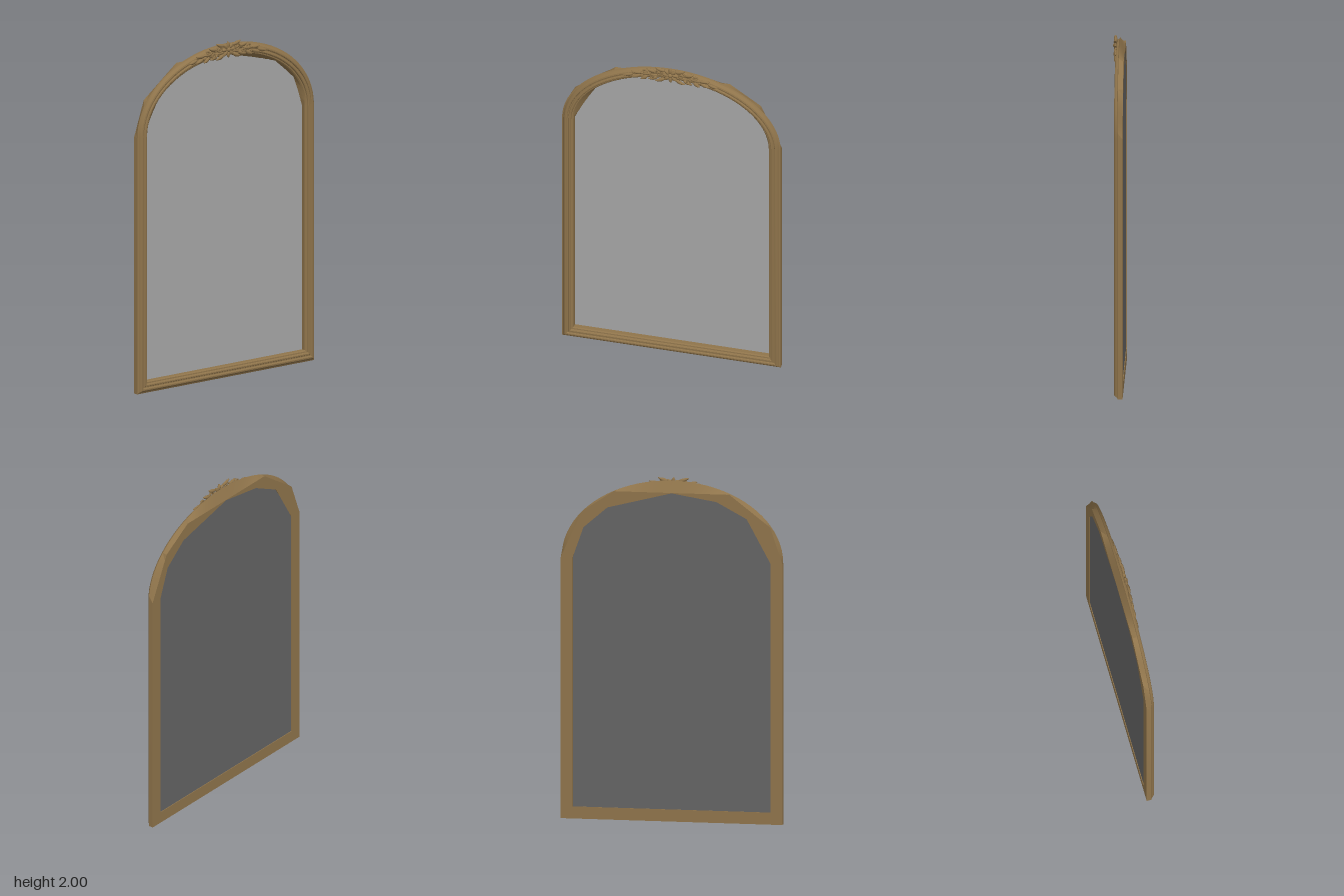
import * as THREE from 'three';
import { toCreasedNormals } from 'three/addons/utils/BufferGeometryUtils.js';

const HALF = 0.65, SPRING = 1.52, RISE = 0.46, STEP = 4.5;

// Point on the arch at angle t (degrees), inset by d from the outer edge.
function archPoint(t, d) {
  const a = THREE.MathUtils.degToRad(t);
  return new THREE.Vector2((HALF - d) * Math.cos(a), SPRING + (RISE - d) * Math.sin(a));
}

// Same, but on straight chords between a few angles (rough-cut back edges).
function chordPoint(t, d, cuts) {
  let i = 0;
  while (i < cuts.length - 2 && t > cuts[i + 1]) i++;
  const k = (t - cuts[i]) / (cuts[i + 1] - cuts[i]);
  return archPoint(cuts[i], d).lerp(archPoint(cuts[i + 1], d), k);
}

// Closed outline: bottom corners, then the arch from right to left.
function outline(d, cuts) {
  const pts = [new THREE.Vector2(-HALF + d, d), new THREE.Vector2(HALF - d, d)];
  for (let t = 0; t <= 180; t += STEP) pts.push(cuts ? chordPoint(t, d, cuts) : archPoint(t, d));
  return pts;
}

// Moulded frame: rings of the profile joined around the outline.
function frameGeometry() {
  const outerCuts = [0, 36, 58.5, 121.5, 153, 180];
  const innerCuts = [0, 27, 49.5, 90, 117, 139.5, 180];
  const profile = [
    [0, -0.035, outerCuts], [0, -0.006], [0.008, -0.002], [0.012, 0.006], [0.019, 0.013],
    [0.027, 0.015], [0.032, 0.013], [0.034, 0.008], [0.04, 0.008], [0.043, 0.013],
    [0.05, 0.014], [0.055, 0.011], [0.057, 0.004], [0.064, 0.003], [0.07, -0.003],
    [0.07, -0.035, innerCuts],
  ];
  const rings = profile.map(([d, z, cuts]) => outline(d, cuts).map(p => [p.x, p.y, z]));
  const n = rings[0].length, pos = [];
  rings.forEach((ring, j) => {
    const next = rings[(j + 1) % rings.length];
    for (let i = 0; i < n; i++) {
      const k = (i + 1) % n;
      pos.push(...ring[i], ...ring[k], ...next[k], ...ring[i], ...next[k], ...next[i]);
    }
  });
  const g = new THREE.BufferGeometry();
  g.setAttribute('position', new THREE.Float32BufferAttribute(pos, 3));
  return toCreasedNormals(g, 0.4);
}

// Leaf: a pointed, ridged blade running along +x.
function leafGeometry(length, width, height) {
  const g = new THREE.SphereGeometry(1, 12, 8);
  const p = g.attributes.position;
  for (let i = 0; i < p.count; i++) {
    const x = p.getX(i), y = p.getY(i), z = p.getZ(i);
    const taper = 1 - 0.55 * Math.max(0, x);
    p.setXYZ(i, (x + 1) * length / 2, y * taper * width / 2 + 0.12 * width * x * x, z * height * (1 - 0.4 * Math.abs(y)));
  }
  g.computeVertexNormals();
  return g;
}

// Flat spiral ending in a curl.
function scrollGeometry(radius, thickness) {
  const pts = [];
  for (let i = 0; i <= 14; i++) {
    const a = i / 14 * Math.PI * 2.6, r = radius * (1 - 0.75 * i / 14);
    pts.push(new THREE.Vector3(r * Math.cos(a), r * Math.sin(a), 0.004 * i / 14));
  }
  return new THREE.TubeGeometry(new THREE.CatmullRomCurve3(pts), 36, thickness, 6);
}

export function createModel() {
  const wood = new THREE.MeshStandardMaterial({ color: 0x8f744b });
  wood.name = 'antique gold wood';
  const glass = new THREE.MeshStandardMaterial({ color: 0xa6a6a6 });
  glass.name = 'mirror grey';
  const backing = new THREE.MeshStandardMaterial({ color: 0x646464 });
  backing.name = 'backing grey';

  const model = new THREE.Group();
  model.name = 'archedMirror';
  const add = (parent, name, geometry, material, x = 0, y = 0, z = 0, turn = 0) => {
    const mesh = new THREE.Mesh(geometry, material);
    mesh.name = name;
    mesh.position.set(x, y, z);
    mesh.rotation.z = turn;
    parent.add(mesh);
    return mesh;
  };

  add(model, 'frame', frameGeometry(), wood);

  // Mirror pane and its backing
  const pane = new THREE.ShapeGeometry(new THREE.Shape(outline(0.069)));
  add(model, 'mirrorGlass', pane, glass, 0, 0, -0.029);
  add(model, 'backPanel', pane.clone().rotateY(Math.PI), backing, 0, 0, -0.031);

  // Carved crest: rosette in the middle
  const crest = new THREE.Group();
  crest.name = 'crest';
  model.add(crest);
  for (let i = 0; i < 8; i++) {
    const a = i / 8 * Math.PI * 2;
    add(crest, 'rosettePetal', leafGeometry(0.042, 0.026, 0.01), wood,
      0.008 * Math.cos(a), 1.948 + 0.008 * Math.sin(a), 0.018, a);
  }
  add(crest, 'rosetteHeart', new THREE.SphereGeometry(0.014, 12, 8), wood, 0, 1.948, 0.02);

  // Scrolls and leaves following the arch on each side
  const spray = [
    ['scroll', 0.066, 0.012, 0.021, 0.4], ['scroll', 0.105, -0.012, 0.018, 3.4],
    ['scroll', 0.15, 0.01, 0.018, 0.8],
    ['leaf', 0.03, 0.025, 0.065, 0.35], ['leaf', 0.03, -0.024, 0.065, -0.35],
    ['leaf', 0.075, -0.02, 0.06, -0.25], ['leaf', 0.085, 0.014, 0.06, 0.35],
    ['leaf', 0.115, 0, 0.07, 0.1], ['leaf', 0.135, -0.015, 0.05, -0.45],
    ['leaf', 0.165, 0.004, 0.07, 0.2], ['leaf', 0.175, -0.008, 0.06, -0.2],
    ['leaf', 0.22, 0, 0.07, 0],
  ];
  for (const side of [1, -1]) {
    const half = new THREE.Group();
    half.name = side > 0 ? 'leftSpray' : 'rightSpray';
    half.scale.x = side;
    crest.add(half);
    for (const [kind, x, lift, size, turn] of spray) {
      const t = Math.acos(x / (HALF - 0.035));
      const y = SPRING + (RISE - 0.035) * Math.sin(t) + lift;
      const slope = -Math.atan((RISE / HALF) / Math.tan(t));
      const z = 0.024 - 0.04 * x;
      if (kind === 'scroll') add(half, 'scroll', scrollGeometry(size, 0.005), wood, x, y, z - 0.002, turn + slope);
      else add(half, 'leaf', leafGeometry(size, 0.024, 0.009), wood, x, y, z - 0.003, turn + slope);
    }
  }
  return model;
}
